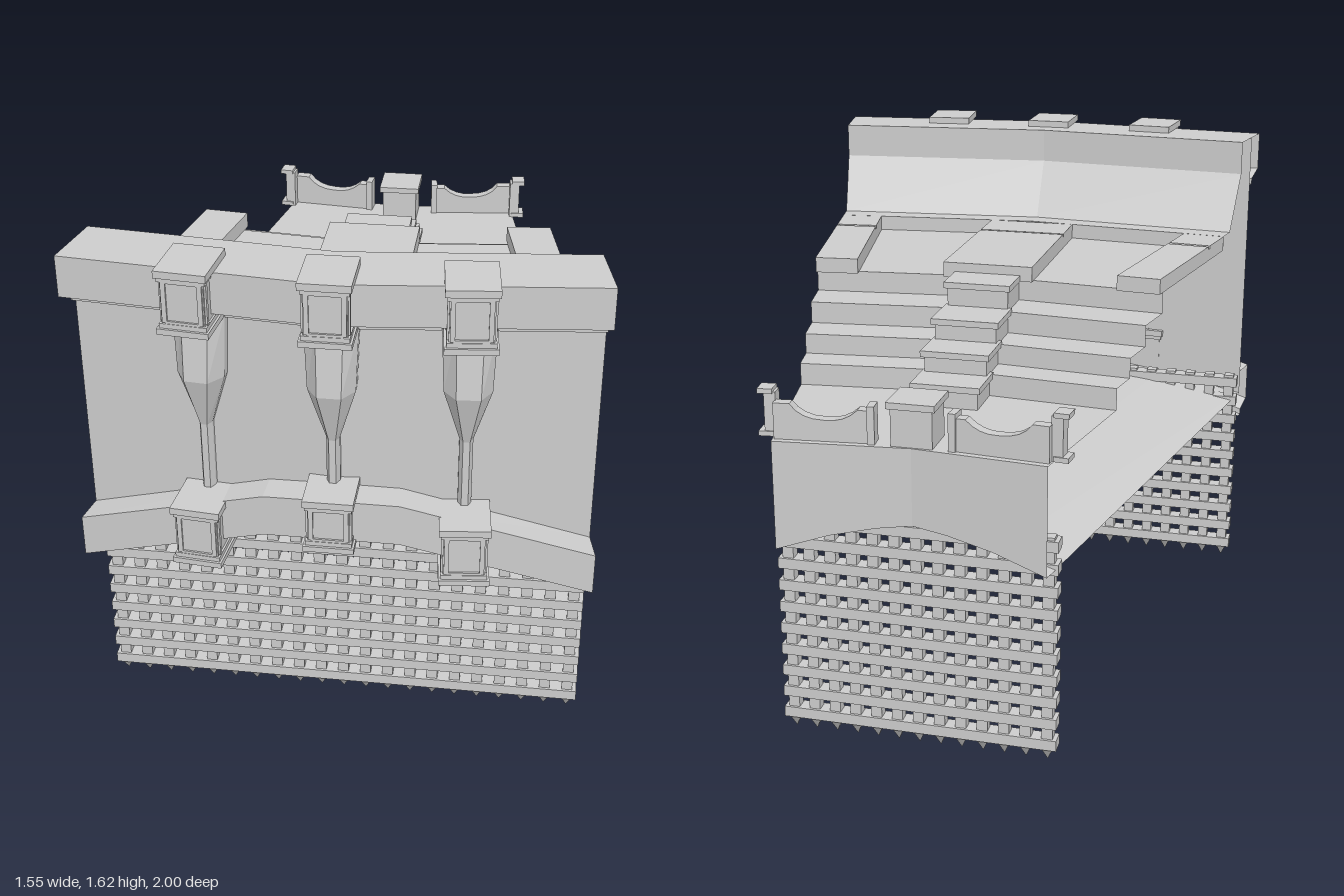
import * as THREE from 'three';
import { mergeGeometries } from 'three/addons/utils/BufferGeometryUtils.js';

const stone = new THREE.MeshStandardMaterial({ color: 0xcccccc, side: THREE.DoubleSide });
stone.name = 'paleStone';

// Plan rules: the block is a wedge whose cross lines bend back from the centre
const BEND = 0.1;
const halfWidth = (zc) => (0.605 + 0.195 * zc) / 1.0195;
const COLS = [-1, -0.6, -0.26, 0, 0.26, 0.6, 1];
const interp = (table) => (u) => {
  const a = Math.abs(u);
  for (let i = 1; i < table.length; i++) {
    const [u0, v0] = table[i - 1], [u1, v1] = table[i];
    if (a <= u1 + 1e-6) return v0 + (v1 - v0) * (a - u0) / (u1 - u0);
  }
  return 0;
};
const archRise = interp([[0, 0], [0.26, -0.015], [1, -0.18]]);
const vaultRise = interp([[0, 0], [0.26, -0.014], [0.6, -0.045], [1, -0.1]]);
const flat = () => 0;

function add(parent, geometry, name, x = 0, y = 0, z = 0) {
  const m = new THREE.Mesh(geometry, stone);
  m.name = name;
  m.position.set(x, y, z);
  parent.add(m);
  return m;
}

// Flat-shaded surface through rows of points
function loft(rows) {
  const p = [];
  for (let i = 0; i + 1 < rows.length; i++) {
    for (let j = 0; j + 1 < rows[i].length; j++) {
      const a = rows[i][j], b = rows[i][j + 1], c = rows[i + 1][j + 1], d = rows[i + 1][j];
      p.push(...a, ...b, ...c, ...a, ...c, ...d);
    }
  }
  const g = new THREE.BufferGeometry();
  g.setAttribute('position', new THREE.Float32BufferAttribute(p, 3));
  g.computeVertexNormals();
  return g;
}

// Sweep a [z, y, rise] profile across the wedge
function sweep(profile, cols = COLS, rise = flat) {
  return loft(profile.map(([zc, y, r = rise]) => cols.map((u) => {
    const x = u * halfWidth(zc);
    return [x, y + r(u), zc - BEND * Math.abs(x)];
  })));
}

// Upright prism over a plan outline of [x, z] corners
function prism(corners, y0, y1) {
  const s = new THREE.Shape(corners.map(([x, z]) => new THREE.Vector2(x, -z)));
  return new THREE.ExtrudeGeometry(s, { depth: y1 - y0, bevelEnabled: false })
    .rotateX(-Math.PI / 2).translate(0, y0, 0);
}

const box = (w, h, d, x = 0, y = 0, z = 0) => new THREE.BoxGeometry(w, h, d).translate(x, y, z);

// Pier block with cap, base and framed front and side panels
function pier(h) {
  const parts = [
    box(0.125, h, 0.15, 0, h / 2, 0),
    box(0.15, 0.022, 0.18, 0, h - 0.011, 0), box(0.137, 0.014, 0.165, 0, h - 0.029, 0),
    box(0.15, 0.018, 0.18, 0, 0.009, 0), box(0.137, 0.014, 0.165, 0, 0.025, 0),
  ];
  const ph = h - 0.07;
  for (const s of [-1, 1]) {
    parts.push(box(0.014, ph, 0.008, s * 0.052, h / 2, 0.077));
    for (const e of [-1, 1]) parts.push(box(0.008, ph, 0.014, s * 0.064, h / 2, e * 0.062));
    parts.push(box(0.1, 0.01, 0.008, 0, h / 2 + s * ph / 2, 0.077));
  }
  return mergeGeometries(parts);
}

// Faceted pilaster: slim shaft swelling into a bracket
function pilaster(y0) {
  const levels = [[y0, 0.02, 0.035], [1.07, 0.02, 0.035], [1.24, 0.07, 0.085], [1.44, 0.078, 0.065]];
  return loft(levels.map(([y, w, d]) =>
    [[-w, 0], [-w, d * 0.4], [-w * 0.5, d], [w * 0.5, d], [w, d * 0.4], [w, 0]].map(([x, z]) => [x, y, z])));
}

// Lattice gate with pointed feet
function gate(count, pitch, half) {
  const parts = [];
  for (let i = 0; i < count; i++) {
    const x = (i - (count - 1) / 2) * pitch;
    parts.push(box(0.034, 0.69, 0.034, x, 0.385, 0));
    parts.push(new THREE.ConeGeometry(0.024, 0.04, 4).rotateY(Math.PI / 4).rotateX(Math.PI).translate(x, 0.02, 0));
  }
  for (let j = 0; j < 10; j++) parts.push(box(half * 2, 0.034, 0.05, 0, 0.058 + j * 0.0718, 0));
  return mergeGeometries(parts);
}

export function createModel() {
  const model = new THREE.Group();
  model.name = 'gatehouse';

  // Shell: vaulted passage, walls, cornices
  add(model, sweep([[0.855, 0.735], [-0.96, 0.735]], COLS, vaultRise), 'passageVault');
  add(model, sweep([[0.855, 0.735, vaultRise], [0.855, 1.6]]), 'frontWall');
  add(model, sweep([[-0.96, 0.735, vaultRise], [-0.96, 0.975]]), 'backWall');
  const V = [-1, 0, 1];
  add(model, sweep([[0.855, 1.43], [0.88, 1.43], [0.88, 1.45], [0.95, 1.475], [0.95, 1.603], [0.745, 1.603]], V), 'upperCornice');
  add(model, sweep([[0.855, 0.722], [0.88, 0.722], [0.88, 0.742], [0.95, 0.765], [0.95, 0.9], [0.855, 0.9]],
    [-1, -0.26, 0, 0.26, 1], archRise), 'lowerCornice');

  // Parapet inside, wall walk and stairs as one folded sheet
  add(model, sweep([[0.745, 1.603], [0.745, 1.49], [0.64, 1.3], [0.57, 1.3], [0.57, 1.25], [-0.05, 1.25],
    [-0.05, 1.18], [-0.2, 1.18], [-0.2, 1.11], [-0.33, 1.11], [-0.33, 1.045], [-0.44, 1.045],
    [-0.44, 0.975], [-0.96, 0.975]], V), 'wallWalkAndStairs');

  // Raised paving slabs, each split by a shallow groove
  const corner = (s, zc, off) => {
    const x = halfWidth(zc) - off;
    return [s * x, zc - BEND * x];
  };
  const sideSlab = (s, a, b, y0, y1) =>
    prism([corner(s, a, 0), corner(s, a, 0.142), corner(s, b, 0.142), corner(s, b, 0)], y0, y1);
  for (const s of [-1, 1]) {
    add(model, sideSlab(s, -0.08, 0.568, 1.25, 1.29), 'sidePaving');
    add(model, sideSlab(s, -0.08, 0.4, 1.29, 1.3), 'sidePavingTop');
    add(model, sideSlab(s, 0.417, 0.568, 1.29, 1.3), 'sidePavingTop');
  }
  add(model, box(0.3, 0.04, 0.645, 0, 1.27, 0.2325), 'centrePaving');
  add(model, box(0.3, 0.01, 0.48, 0, 1.295, 0.15), 'centrePavingTop');
  add(model, box(0.3, 0.01, 0.155, 0, 1.295, 0.4775), 'centrePavingTop');

  // Centre flight of capped blocks
  for (const [y0, y1, z0, z1] of [[1.18, 1.27, -0.05, -0.23], [1.11, 1.19, -0.2, -0.38],
    [1.045, 1.12, -0.33, -0.5], [0.975, 1.05, -0.44, -0.61]]) {
    add(model, box(0.2, y1 - y0, z0 - z1 - 0.015, 0, (y0 + y1) / 2, (z0 + z1 + 0.015) / 2), 'stepBlock');
    add(model, box(0.22, 0.02, z0 - z1, 0, y1 - 0.01, (z0 + z1) / 2), 'stepCap');
  }

  // Front piers and pilasters
  for (const s of [-1, 0, 1]) {
    const bay = new THREE.Group();
    bay.name = 'frontBay';
    bay.position.set(s * 0.388, 0, s ? 0.89 : 0.905);
    bay.rotation.y = s * 0.1;
    add(bay, pier(0.195), 'upperPier', 0, 1.43);
    add(bay, pier(s ? 0.195 : 0.175), 'lowerPier', 0, s ? 0.655 : 0.748);
    add(bay, pilaster(s ? 0.84 : 0.91), 'pilaster', 0, 0, s ? -0.075 : -0.05);
    model.add(bay);
  }

  // Back post and sagging parapet rails
  add(model, box(0.125, 0.115, 0.125, 0, 1.0325, -0.8925), 'backPost');
  add(model, box(0.145, 0.02, 0.145, 0, 1.1, -0.8925), 'backPostCap');
  const outline = new THREE.Shape();
  outline.moveTo(0, 0);
  outline.lineTo(0, 0.1);
  outline.lineTo(0.05, 0.1);
  outline.quadraticCurveTo(0.09, 0.06, 0.15, 0.065);
  outline.quadraticCurveTo(0.22, 0.065, 0.25, 0.11);
  outline.lineTo(0.3, 0.11);
  outline.lineTo(0.3, 0);
  const railGeo = new THREE.ExtrudeGeometry(outline, { depth: 0.035, bevelEnabled: false, curveSegments: 4 });
  for (const s of [-1, 1]) {
    const side = new THREE.Group();
    side.name = 'backParapet';
    side.scale.x = s;
    const rail = new THREE.Group();
    rail.name = 'rail';
    rail.position.set(0.11, 0.975, -0.95);
    rail.rotation.y = 0.1;
    add(rail, railGeo, 'railPanel');
    add(rail, box(0.022, 0.115, 0.05, 0.011, 0.0575, 0.0175), 'innerPost');
    add(rail, box(0.035, 0.135, 0.045, 0.315, 0.0675, 0.045), 'outerPost');
    add(rail, box(0.045, 0.015, 0.055, 0.328, 0.138, 0.045), 'outerPostCap');
    add(rail, box(0.045, 0.015, 0.055, 0.328, 0.008, 0.045), 'outerPostBase');
    side.add(rail);
    model.add(side);
  }

  // Lattice gates
  add(model, gate(21, 0.0725, 0.755), 'frontGate', 0, 0, 0.705);
  add(model, gate(13, 0.0667, 0.43), 'backGate', 0, 0, -0.915);
  return model;
}
